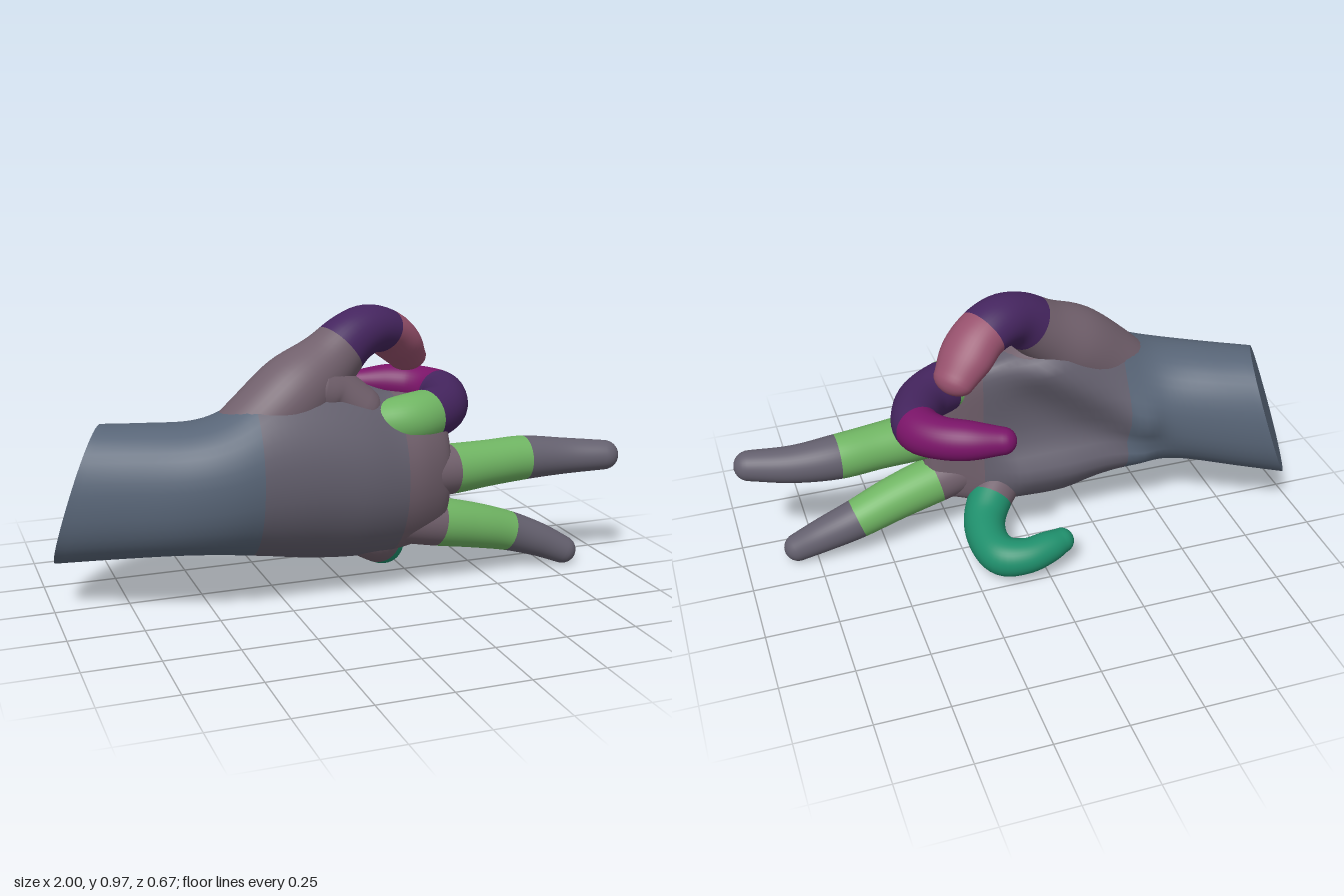
import * as THREE from 'three';

const SIDES = 40;
const V = (x, y, z) => new THREE.Vector3(x, y, z);
const spline = points => new THREE.CatmullRomCurve3(points, false, 'catmullrom');

// Skin rings of points; split rows into coloured meshes that share smooth normals.
function loft(name, rings, bands) {
  const pos = [], idx = [];
  rings.forEach(r => r.forEach(p => pos.push(p.x, p.y, p.z)));
  for (let i = 0; i < rings.length - 1; i++) {
    for (let j = 0; j < SIDES; j++) {
      const k = (j + 1) % SIDES, a = i * SIDES, b = a + SIDES;
      idx.push(a + j, a + k, b + k, a + j, b + k, b + j);
    }
  }
  const whole = new THREE.BufferGeometry();
  whole.setAttribute('position', new THREE.Float32BufferAttribute(pos, 3));
  whole.setIndex(idx);
  whole.computeVertexNormals();
  const normals = whole.attributes.normal.array;

  const group = new THREE.Group();
  group.name = name;
  let from = 0;
  bands.forEach(([end, color], n) => {
    const to = n === bands.length - 1 ? rings.length - 1 : Math.round(end * (rings.length - 1));
    const geo = new THREE.BufferGeometry();
    const cut = a => a.slice(from * SIDES * 3, (to + 1) * SIDES * 3);
    geo.setAttribute('position', new THREE.Float32BufferAttribute(cut(pos), 3));
    geo.setAttribute('normal', new THREE.Float32BufferAttribute(cut(normals), 3));
    geo.setIndex(idx.slice(0, (to - from) * SIDES * 6));
    const mesh = new THREE.Mesh(geo, new THREE.MeshStandardMaterial({ color }));
    mesh.name = `${name}Section${n + 1}`;
    group.add(mesh);
    from = to;
  });
  return group;
}

// Rounded limb: points are [x, y, z, radius, widening] from the root to the last joint centre.
function digit(name, points, bands) {
  const path = spline(points.map(p => V(p[0], p[1], p[2])));
  const size = spline(points.map(p => V(p[3], p[4] ?? 1, 0)));
  const rings = [], steps = 40;
  let normal = V(0, 1, 0);
  const addRing = (c, t, r, wide) => {
    normal = normal.clone().addScaledVector(t, -normal.dot(t)).normalize();
    const side = t.clone().cross(normal);
    rings.push(Array.from({ length: SIDES }, (_, j) => {
      const a = j / SIDES * Math.PI * 2;
      return c.clone().addScaledVector(normal, r * Math.cos(a)).addScaledVector(side, r * wide * Math.sin(a));
    }));
  };
  // Domed root, shaft, domed tip
  const dome = (u, sign, k) => {
    const t = path.getTangent(u), s = size.getPoint(u), a = k / 6 * Math.PI / 2;
    addRing(path.getPoint(u).addScaledVector(t, sign * s.x * Math.sin(a)), t, s.x * Math.cos(a), s.y);
  };
  for (let k = 6; k >= 1; k--) dome(0, -1, k);
  for (let i = 0; i <= steps; i++) dome(i / steps, 1, 0);
  for (let k = 1; k <= 6; k++) dome(1, 1, k);
  return loft(name, rings, bands);
}

// Fleshy pads swelling the inner side of the palm along two lines: [line, height, spread]
const PADS = [
  [new THREE.Line3(V(-0.40, 0.46, 0), V(-0.06, 0.70, 0)), 0.07, 0.10],
  [new THREE.Line3(V(-0.40, 0.30, 0), V(0.00, 0.26, 0)), 0.05, 0.08],
];
function padHeight(x, y) {
  const p = V(x, y, 0);
  return Math.max(...PADS.map(([line, h, spread]) => {
    const d = line.closestPointToPoint(p, true, V(0, 0, 0)).distanceTo(p);
    return h * Math.exp(-((d / spread) ** 2));
  }));
}

// Palm and wrist: stations [x, yBottom, yTop, zBack, zFront, arch, skew]
function palmRings() {
  const stations = [
    [-0.90, 0.16, 0.63, -0.20, 0.12, 0, 1],
    [-0.75, 0.18, 0.635, -0.15, 0.20, 0, 0.8],
    [-0.58, 0.20, 0.645, -0.09, 0.29, 0, 0.5],
    [-0.45, 0.195, 0.68, -0.04, 0.33, 0.02, 0.2],
    [-0.30, 0.165, 0.76, 0.01, 0.335, 0.06, 0],
    [-0.15, 0.135, 0.78, 0.035, 0.335, 0.09, 0],
    [0.00, 0.125, 0.745, 0.06, 0.33, 0.09, 0],
    [0.12, 0.13, 0.70, 0.07, 0.31, 0.08, 0],
    [0.22, 0.15, 0.68, 0.08, 0.285, 0.06, 0],
    [0.31, 0.19, 0.63, 0.10, 0.24, 0.04, 0],
    [0.34, 0.28, 0.54, 0.14, 0.19, 0.02, 0],
  ];
  const columns = stations[0].map((_, k) => spline(stations.map(s => V(s[k], 0, 0))));
  const rings = [], steps = 50;
  for (let i = 0; i <= steps; i++) {
    const [x, y0, y1, z0, z1, arch, skew] = columns.map(c => c.getPoint(i / steps).x);
    const cy = (y0 + y1) / 2, cz = (z0 + z1) / 2;
    rings.push(Array.from({ length: SIDES }, (_, j) => {
      const a = j / SIDES * Math.PI * 2, c = Math.cos(a), s = Math.sin(a);
      const u = Math.sign(c) * Math.abs(c) ** 0.9, w = Math.sign(s) * Math.abs(s) ** 0.9;
      const dy = u * (y1 - y0) / 2, dz = w * (z1 - z0) / 2;
      const pad = Math.min(1, Math.max(0, -1.6 * w)) * padHeight(x, cy + dy);
      return V(x + skew * (0.3 * dy - 0.4 * dz), cy + dy, cz + dz + skew * 0.15 * dy - arch * u * u - pad);
    }));
  }
  return rings;
}

const fan = ring => {
  const c = ring.reduce((s, p) => s.add(p), V(0, 0, 0)).divideScalar(ring.length);
  return ring.map(() => c.clone());
};

export function createModel() {
  const hand = new THREE.Group();
  hand.name = 'hand';
  const slate = 0x586577, mauve = 0x71606c, green = 0x70b563, purple = 0x45255f;
  const magenta = 0x7a1468, teal = 0x1f8f6c, pink = 0x96506c, dusk = 0x64606e;

  // Palm with flat cuts at the wrist and between the finger roots
  const rings = palmRings();
  hand.add(loft('palm', rings, [[0.36, slate], [0.72, dusk], [1, mauve]]));
  hand.add(loft('wristCut', [fan(rings[0]), rings[0]], [[1, slate]]));
  const last = rings[rings.length - 1];
  hand.add(loft('fingerWeb', [last, fan(last)], [[1, mauve]]));

  // Web of skin between the thumb and the index finger
  hand.add(digit('thumbWeb', [
    [-0.13, 0.73, 0.12, 0.11, 1.05], [-0.06, 0.71, 0.12, 0.085, 1.3], [0.02, 0.65, 0.14, 0.08, 1.2],
  ], [[1, mauve]]));

  // Thumb bending over towards the index finger, broad at the nail
  hand.add(digit('thumb', [
    [-0.42, 0.54, 0.13, 0.12], [-0.30, 0.63, 0.13, 0.135], [-0.19, 0.72, 0.115, 0.135],
    [-0.08, 0.80, 0.09, 0.108], [0.01, 0.87, 0.065, 0.092], [0.09, 0.895, 0.03, 0.084, 1.1],
    [0.17, 0.875, -0.01, 0.074, 1.25], [0.23, 0.825, -0.047, 0.066, 1.4],
    [0.28, 0.77, -0.08, 0.052, 1.4],
  ], [[0.47, mauve], [0.68, purple], [1, pink]]));

  // Index finger curling back to meet the thumb
  hand.add(digit('indexFinger', [
    [0.06, 0.60, 0.175, 0.075], [0.20, 0.605, 0.17, 0.09], [0.34, 0.61, 0.09, 0.085],
    [0.405, 0.62, -0.03, 0.08], [0.41, 0.625, -0.12, 0.078], [0.36, 0.635, -0.20, 0.07],
    [0.28, 0.64, -0.25, 0.065], [0.18, 0.64, -0.285, 0.046],
  ], [[0.26, green], [0.54, purple], [1, magenta]]));

  // Two extended fingers
  hand.add(digit('middleFinger', [
    [0.08, 0.43, 0.20, 0.09], [0.32, 0.415, 0.165, 0.088], [0.50, 0.415, 0.14, 0.081],
    [0.65, 0.415, 0.12, 0.078], [0.80, 0.41, 0.13, 0.065], [0.945, 0.41, 0.168, 0.053],
  ], [[0.28, mauve], [0.58, green], [1, dusk]]));
  hand.add(digit('ringFinger', [
    [0.04, 0.28, 0.17, 0.08], [0.28, 0.23, 0.15, 0.085], [0.45, 0.19, 0.13, 0.08],
    [0.60, 0.145, 0.11, 0.071], [0.72, 0.10, 0.115, 0.061], [0.815, 0.055, 0.13, 0.05],
  ], [[0.28, mauve], [0.57, green], [1, dusk]]));

  // Little finger folded into the palm
  hand.add(digit('littleFinger', [
    [0.00, 0.22, 0.14, 0.07], [0.09, 0.175, 0.10, 0.08], [0.16, 0.12, 0.01, 0.075],
    [0.18, 0.10, -0.10, 0.07], [0.155, 0.093, -0.19, 0.07], [0.08, 0.10, -0.225, 0.062],
    [0.00, 0.11, -0.215, 0.056], [-0.055, 0.115, -0.20, 0.045],
  ], [[0.26, mauve], [1, teal]]));

  return hand;
}
